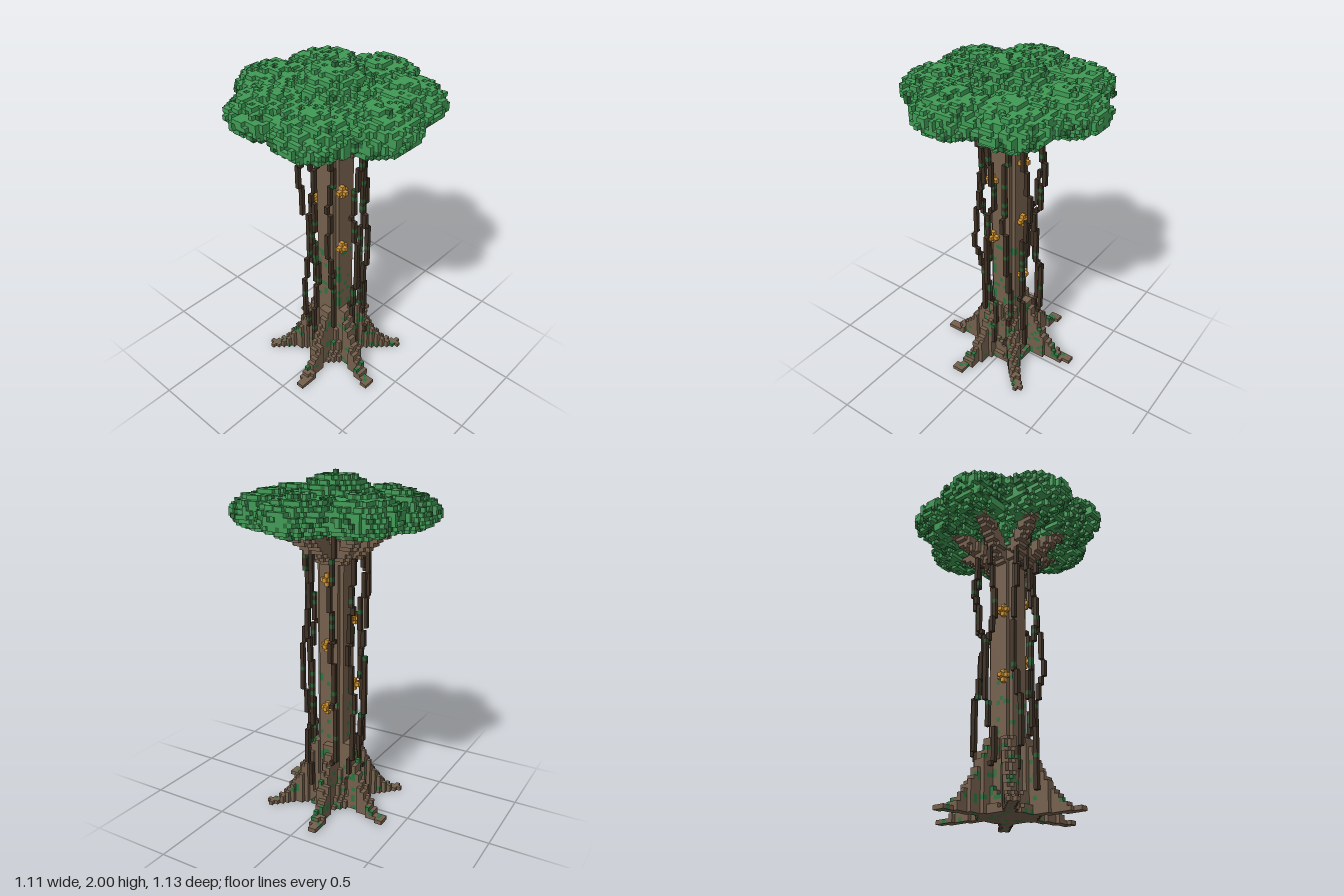
import * as THREE from 'three';

const ROWS = 83;
const U = 2 / ROWS; // edge of one block
const material = (name, color) => Object.assign(new THREE.MeshStandardMaterial({ color }), { name });
const MAT = {
  bark: material('bark', 0x745f4c),
  vine: material('vine', 0x3e3024),
  vineLeaf: material('vineLeaf', 0x2b5f33),
  leaf: material('leaf', 0x409a55),
  darkLeaf: material('darkLeaf', 0x2c6d39),
  moss: material('moss', 0x2e7340),
  flower: material('flower', 0xd2942f),
};

// Repeatable pseudo-random value in 0..1 for a block position
function noise(i, j, k, seed = 0) {
  let h = Math.imul(i + 101, 374761393) ^ Math.imul(j + 57, 668265263) ^ Math.imul(k + 211, 1274126177) ^ Math.imul(seed + 1, 974711);
  h = Math.imul(h ^ (h >>> 13), 1274126177);
  h = Math.imul(h ^ (h >>> 15), 2246822519);
  return ((h ^ (h >>> 16)) >>> 0) / 4294967296;
}

export function createModel() {
  const cells = new Map();
  const key = (i, j, k) => i + ',' + j + ',' + k;
  const put = (part, mat, i, j, k) => {
    if (j >= 0 && j < ROWS && !cells.has(key(i, j, k))) cells.set(key(i, j, k), { part, mat, p: [i, j, k] });
  };
  const cell = (v) => Math.round(v / U);
  const level = (y) => Math.floor(y / U);

  // Visit every block in a box and fill those for which test() gives a material
  function fill(part, r, y0, y1, test) {
    const n = Math.ceil(r / U);
    for (let j = level(y0); j <= level(y1); j++)
      for (let i = -n; i <= n; i++)
        for (let k = -n; k <= n; k++) {
          const mat = test(i * U, (j + 0.5) * U, k * U, i, j, k);
          if (mat) put(part, mat, i, j, k);
        }
  }
  const mossy = (i, j, k) => (j < 35 && noise(i, j, k, 3) < 0.14 ? 'moss' : 'bark');

  // Trunk, flared at the foot
  fill('trunk', 0.25, 0, 1.56, (x, y, z, i, j, k) =>
    Math.hypot(x, z) < 0.09 + 0.085 * Math.exp(-y / 0.13) && mossy(i, j, k));

  // Six buttress roots
  const roots = [...Array(6).keys()].map((n) => ((48 + 60 * n) * Math.PI) / 180);
  fill('roots', 0.45, 0, 0.4, (x, y, z, i, j, k) => {
    for (const a of roots) {
      const along = x * Math.cos(a) + z * Math.sin(a);
      const across = Math.abs(z * Math.cos(a) - x * Math.sin(a));
      if (along < 0 || along > 0.425 || across > 0.03) continue;
      if (y < Math.max(0.02, 0.8 * Math.pow(Math.max(0, 0.43 - along) / 0.43, 1.9))) return mossy(i, j, k);
    }
    return null;
  });

  // Seven branches, one to each leaf lobe
  const lobes = [...Array(7).keys()].map((n) => (n * Math.PI * 2) / 7);
  const start = new THREE.Vector2(0.03, 1.5), end = new THREE.Vector2(0.39, 1.775);
  const dir = end.clone().sub(start);
  fill('branches', 0.45, 1.4, 1.8, (x, y, z) => {
    for (const a of lobes) {
      const along = x * Math.cos(a) + z * Math.sin(a);
      const across = z * Math.cos(a) - x * Math.sin(a);
      const t = ((along - start.x) * dir.x + (y - start.y) * dir.y) / dir.lengthSq();
      if (t < 0 || t > 1) continue;
      const off = Math.hypot(along - start.x - t * dir.x, y - start.y - t * dir.y, across);
      if (off < 0.05 - 0.009 * t) return 'bark';
    }
    return null;
  });

  // Canopy: a raised middle and seven lobes, with an outer shell more ragged below
  const puffs = lobes.map((a) => [0.35 * Math.cos(a), 1.787, 0.35 * Math.sin(a), 0.228, 0.11]);
  puffs.push([0, 1.815, 0, 0.22, 0.1735]);
  fill('canopy', 0.6, 1.64, 1.999, (x, y, z, i, j, k) => {
    let d = 9;
    for (const [cx, cy, cz, r, h] of puffs) d = Math.min(d, Math.hypot((x - cx) / r, (y - cy) / h, (z - cz) / r));
    const ragged = y < 1.84 ? 0.45 : 0.35;
    if (d > 1 || (d > 0.8 && j < ROWS - 1 && noise(i, j, k, 1) < ragged)) return null;
    return noise(i, j, k, 2) < (y < 1.81 ? 0.2 : 0.05) ? 'darkLeaf' : 'leaf';
  });

  // Flowers winding up the trunk
  for (let n = 0; n < 7; n++) {
    const a = (n * Math.PI * 2) / 3;
    const i = cell(0.105 * Math.cos(a)), k = cell(0.105 * Math.sin(a)), j = level(1.42 - 0.13 * n);
    for (const [x, y, z] of [[0, 0, 0], [1, 0, 0], [-1, 0, 0], [0, 1, 0], [0, -1, 0], [0, 0, 1], [0, 0, -1]])
      put('flowers', 'flower', i + x, j + y, k + z);
  }

  // Nine hanging vines with small leaves, three between each pair of flower rows
  for (let n = 0; n < 9; n++) {
    const angle = ((120 * Math.floor(n / 3) + 25 + 35 * (n % 3)) * Math.PI) / 180;
    const bottom = 0.12 + 0.22 * noise(n, 5, 9);
    const phase = noise(n, 2, 4) * 6.28;
    for (let j = level(bottom); j < level(1.7); j++) {
      const y = j * U;
      const r = 0.175 + 0.024 * Math.sin(y * 7.5 + phase);
      const a = angle + 0.07 * Math.sin(y * 5 + phase * 2);
      const i = cell(r * Math.cos(a)), k = cell(r * Math.sin(a));
      put('vines', noise(i, j, k, 6) < 0.09 ? 'vineLeaf' : 'vine', i, j, k);
    }
  }

  // Collect the exposed block faces by part and colour
  const faces = {};
  for (const { part, mat, p } of cells.values())
    for (let axis = 0; axis < 3; axis++)
      for (const side of [0, 1]) {
        const next = [...p];
        next[axis] += side ? 1 : -1;
        if (cells.has(key(...next))) continue;
        const b = (axis + 1) % 3, c = (axis + 2) % 3;
        const corners = [[0, 0], [1, 0], [1, 1], [0, 1]].map(([s, t]) => {
          const v = [p[0] - 1, p[1], p[2] - 0.5]; // half a block aside centres the lobes
          v[axis] += side;
          v[b] += s;
          v[c] += t;
          return v.map((q) => q * U);
        });
        const order = side ? [0, 1, 2, 0, 2, 3] : [0, 2, 1, 0, 3, 2];
        const list = ((faces[part] ??= {})[mat] ??= []);
        for (const o of order) list.push(...corners[o]);
      }

  const model = new THREE.Group();
  model.name = 'tree';
  for (const [part, byMat] of Object.entries(faces)) {
    const group = new THREE.Group();
    group.name = part;
    for (const [mat, list] of Object.entries(byMat)) {
      const geometry = new THREE.BufferGeometry();
      geometry.setAttribute('position', new THREE.Float32BufferAttribute(list, 3));
      geometry.computeVertexNormals();
      const mesh = new THREE.Mesh(geometry, MAT[mat]);
      mesh.name = part + ' ' + mat;
      group.add(mesh);
    }
    model.add(group);
  }
  return model;
}
